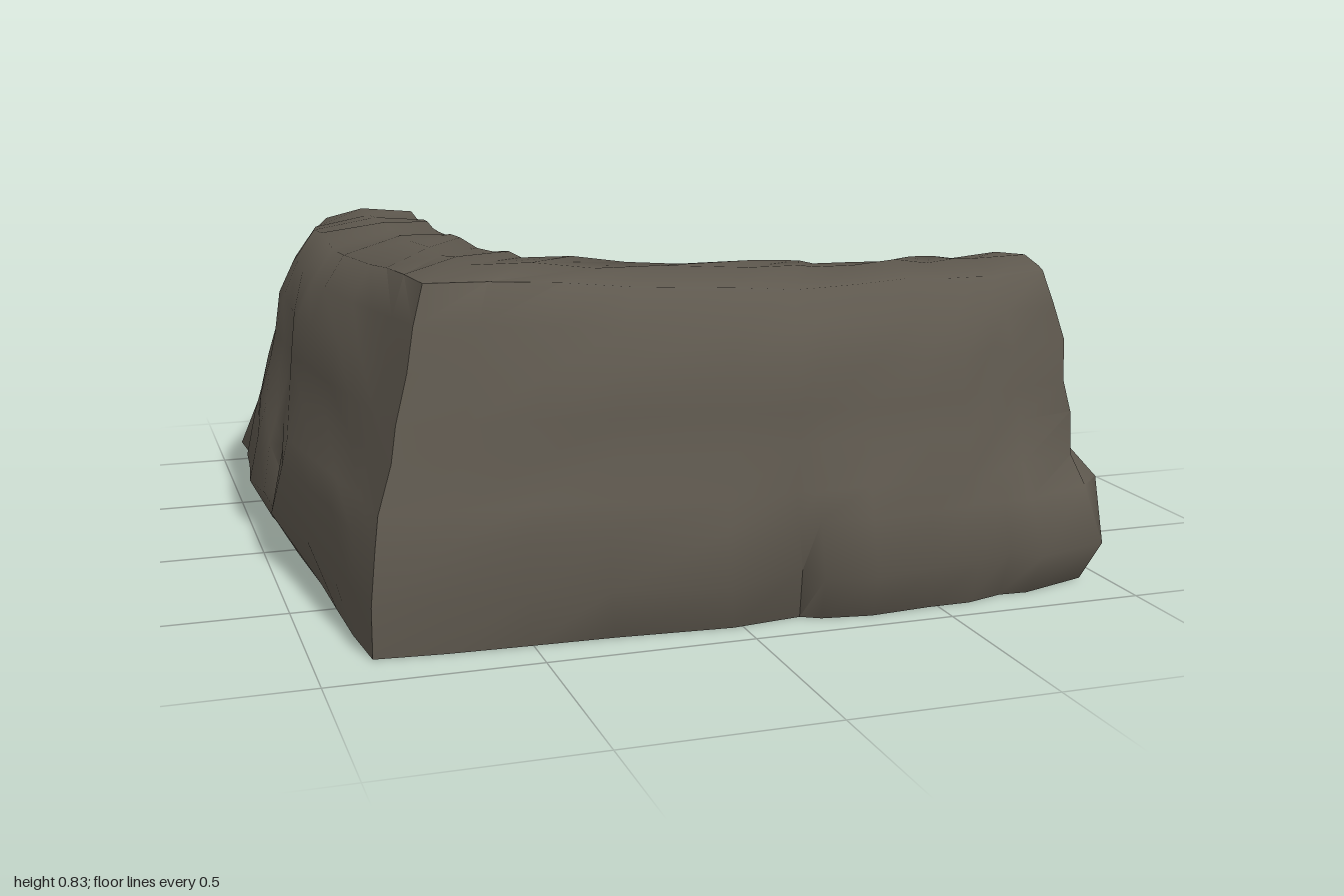
import * as THREE from 'three';
import { mergeGeometries, toCreasedNormals } from 'three/addons/utils/BufferGeometryUtils.js';

// Heights of the cross-section rows, and distance of each row from the inside
// of the bend, at the corner, the middle and the open end of an arm
const ROWS = [0, 0.12, 0.25, 0.32, 0.42, 0.5, 0.6, 0.69, 0.77];
const OUTER = {
  corner: [0.865, 0.865, 0.85, 0.84, 0.80, 0.785, 0.75, 0.73, 0.70],
  middle: [0.915, 0.965, 0.95, 0.935, 0.90, 0.885, 0.865, 0.825, 0.755],
  end: [0.84, 0.92, 0.86, 0.80, 0.765, 0.75, 0.74, 0.72, 0.68],
};
const INNER = {
  corner: [0.31, 0.305, 0.30, 0.33, 0.33, 0.335, 0.34, 0.35, 0.39],
  middle: [0.285, 0.28, 0.275, 0.325, 0.33, 0.335, 0.345, 0.365, 0.41],
  end: [0.30, 0.295, 0.29, 0.36, 0.33, 0.34, 0.36, 0.385, 0.41],
};
const END_OUTER = [0.94, 0.95, 0.93, 0.92, 0.93, 0.915, 0.92, 0.90, 0.89];
const END_INNER = [0.95, 0.95, 0.94, 0.90, 0.94, 0.90, 0.93, 0.91, 0.90];
const END_MID = [0.95, 0.95, 1.0, 0.985, 0.97, 0.935, 0.93, 0.92, 0.90];

// Stations along an arm: [position, bulge of the foot]
const STATIONS = [[0, 0], [0.1, 0], [0.21, 0], [0.32, 0], [0.48, 0.015], [0.57, -0.05], [0.6, 0.01],
  [0.67, 0.03], [0.75, 0.015], [0.81, 0.01], [0.86, -0.01], [0.9, 0.03], [1, 0]];

const lerp = THREE.MathUtils.lerp;
const noise = (i, j) => {
  const v = Math.sin(i * 12.99 + j * 78.23) * 43758.55;
  return (v - Math.floor(v)) * 2 - 1;
};
const blend = (p, k, t) => (t < 0.5
  ? lerp(p.corner[k], p.middle[k], t * 2)
  : lerp(p.middle[k], p.end[k], Math.max(0, (t - 0.8) / 0.2)));
const topLift = (t) => (t < 0.5 ? lerp(0.045, 0.005, t * 2) : 0);

// One arm running along +x from the mitred corner; swapped = its mirror image along -z
function buildArm(swapped) {
  const pos = [], index = [];
  const add = (x, y, z) => {
    if (swapped) pos.push(-z, y, -x);
    else pos.push(x, y, z);
    return pos.length / 3 - 1;
  };
  const tri = (a, b, c) => (swapped ? index.push(a, c, b) : index.push(a, b, c));
  const quad = (a, b, c, d) => { tri(a, b, c); tri(a, c, d); };
  const n = ROWS.length;

  // Rings: up the outer face, over the crest, down the inner face
  const rings = STATIONS.map(([t, bulge], i) => {
    const ring = [];
    const point = (d, y, endX, j) => {
      const amp = i === 0 ? 0 : 0.007;
      const dd = d + noise(i, j) * amp;
      const yy = y === 0 ? 0 : y + noise(j, i + 3) * amp;
      ring.push(add(lerp(-dd, endX, t), yy, dd));
    };
    const rowY = (k) => ROWS[k] + topLift(t) * (ROWS[k] / 0.77) ** 3;
    for (let k = 0; k < n; k++) {
      const foot = bulge * Math.max(0, 1 - Math.abs(ROWS[k] - 0.12) / 0.25);
      point(blend(OUTER, k, t) + foot, rowY(k), END_OUTER[k], k);
    }
    point(0.56, 0.785 + topLift(t), 0.90, n);
    for (let k = n - 1; k >= 0; k--) point(blend(INNER, k, t), rowY(k), END_INNER[k], 2 * n - k);
    return ring;
  });

  // Skin, left open underneath
  for (let i = 0; i < rings.length - 1; i++) {
    for (let j = 0; j < 2 * n; j++) {
      quad(rings[i][j], rings[i + 1][j], rings[i + 1][j + 1], rings[i][j + 1]);
    }
  }

  // Broken end with a jagged ridge down its middle
  const last = rings[rings.length - 1];
  const mid = ROWS.map((y, k) => add(END_MID[k], y, (k === 2 ? 0.73 : 0.58) + noise(k, 5) * 0.06));
  for (let k = 0; k < n - 1; k++) {
    quad(last[k], mid[k], mid[k + 1], last[k + 1]);
    quad(mid[k], last[2 * n - k], last[2 * n - k - 1], mid[k + 1]);
  }
  tri(last[n - 1], mid[n - 1], last[n]);
  tri(mid[n - 1], last[n + 1], last[n]);

  const geometry = new THREE.BufferGeometry();
  geometry.setAttribute('position', new THREE.Float32BufferAttribute(pos, 3));
  geometry.setIndex(index);
  return geometry;
}

export function createModel() {
  const group = new THREE.Group();
  group.name = 'rockWallCorner';
  const stone = new THREE.MeshStandardMaterial({ color: 0x5e584e, side: THREE.DoubleSide });
  stone.name = 'dark stone';

  // Both arms share one skin so the corner shades smoothly
  const geometry = toCreasedNormals(mergeGeometries([buildArm(false), buildArm(true)]).toNonIndexed(), 1.1);
  const wall = new THREE.Mesh(geometry, stone);
  wall.name = 'stoneWall';
  group.add(wall);
  return group;
}
